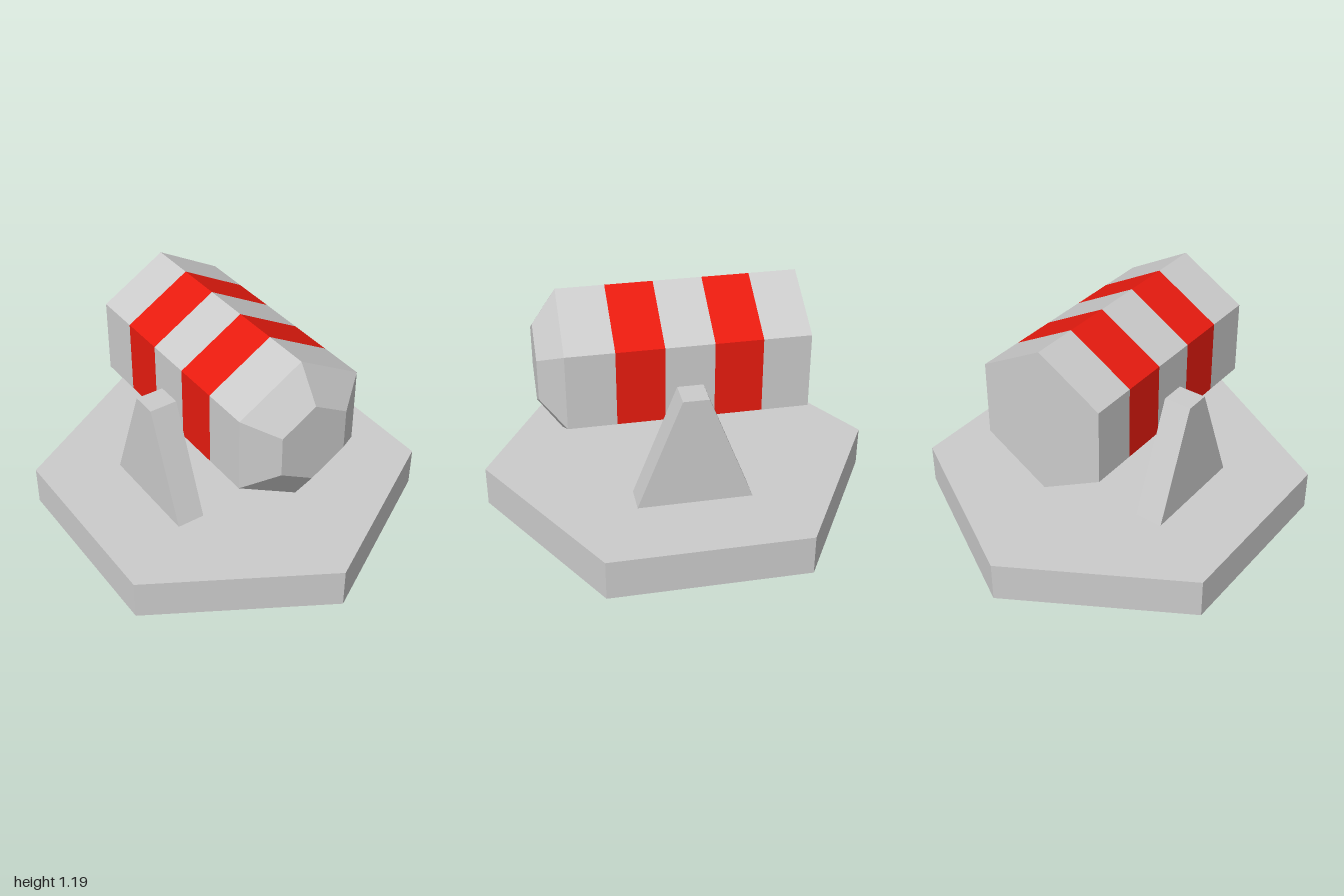
import * as THREE from 'three';

const grey = new THREE.MeshStandardMaterial({ color: 0xcccccc, flatShading: true });
const red = new THREE.MeshStandardMaterial({ color: 0xe81b0f, flatShading: true });

function add(parent, name, geometry, material = grey) {
  const mesh = new THREE.Mesh(geometry, material);
  mesh.name = name;
  parent.add(mesh);
  return mesh;
}

export function createModel() {
  const model = new THREE.Group();
  model.name = 'barrelOnStand';

  // Hexagonal base slab
  add(model, 'base', new THREE.CylinderGeometry(1, 1, 0.21, 6)).position.y = 0.105;

  // Tapered side supports, mirrored
  const profile = new THREE.Shape([
    new THREE.Vector2(-0.288, 0.21), new THREE.Vector2(0.288, 0.21),
    new THREE.Vector2(0.064, 0.787), new THREE.Vector2(-0.064, 0.787),
  ]);
  const depth = 0.145;
  for (const [name, side] of [['leftSupport', 1], ['rightSupport', -1]]) {
    const geometry = new THREE.ExtrudeGeometry(profile, { depth, bevelEnabled: false });
    geometry.translate(0, 0, -depth / 2).rotateY(Math.PI / 2);
    add(model, name, geometry).position.x = side * (0.335 + depth / 2);
  }

  // Hexagonal barrel along z, in flush sections: name, back z, front z, front radius, material
  const barrel = new THREE.Group();
  barrel.name = 'barrel';
  barrel.position.y = 0.806;
  model.add(barrel);
  const R = 0.387;
  const sections = [
    ['rearSection', -0.59, -0.355, R, grey],
    ['rearBand', -0.355, -0.12, R, red],
    ['middleSection', -0.12, 0.12, R, grey],
    ['frontBand', 0.12, 0.355, R, red],
    ['frontSection', 0.355, 0.593, R, grey],
    ['nose', 0.593, 0.712, 0.21, grey],
  ];
  for (const [name, z0, z1, r, material] of sections) {
    const geometry = new THREE.CylinderGeometry(r, R, z1 - z0, 6, 1, true);
    geometry.rotateX(Math.PI / 2).translate(0, 0, (z0 + z1) / 2);
    add(barrel, name, geometry, material);
  }

  // End caps
  add(barrel, 'frontCap', new THREE.CircleGeometry(0.21, 6, Math.PI / 2)).position.z = 0.712;
  const rear = add(barrel, 'rearCap', new THREE.CircleGeometry(R, 6, Math.PI / 2));
  rear.position.z = -0.59;
  rear.rotation.y = Math.PI;

  return model;
}
